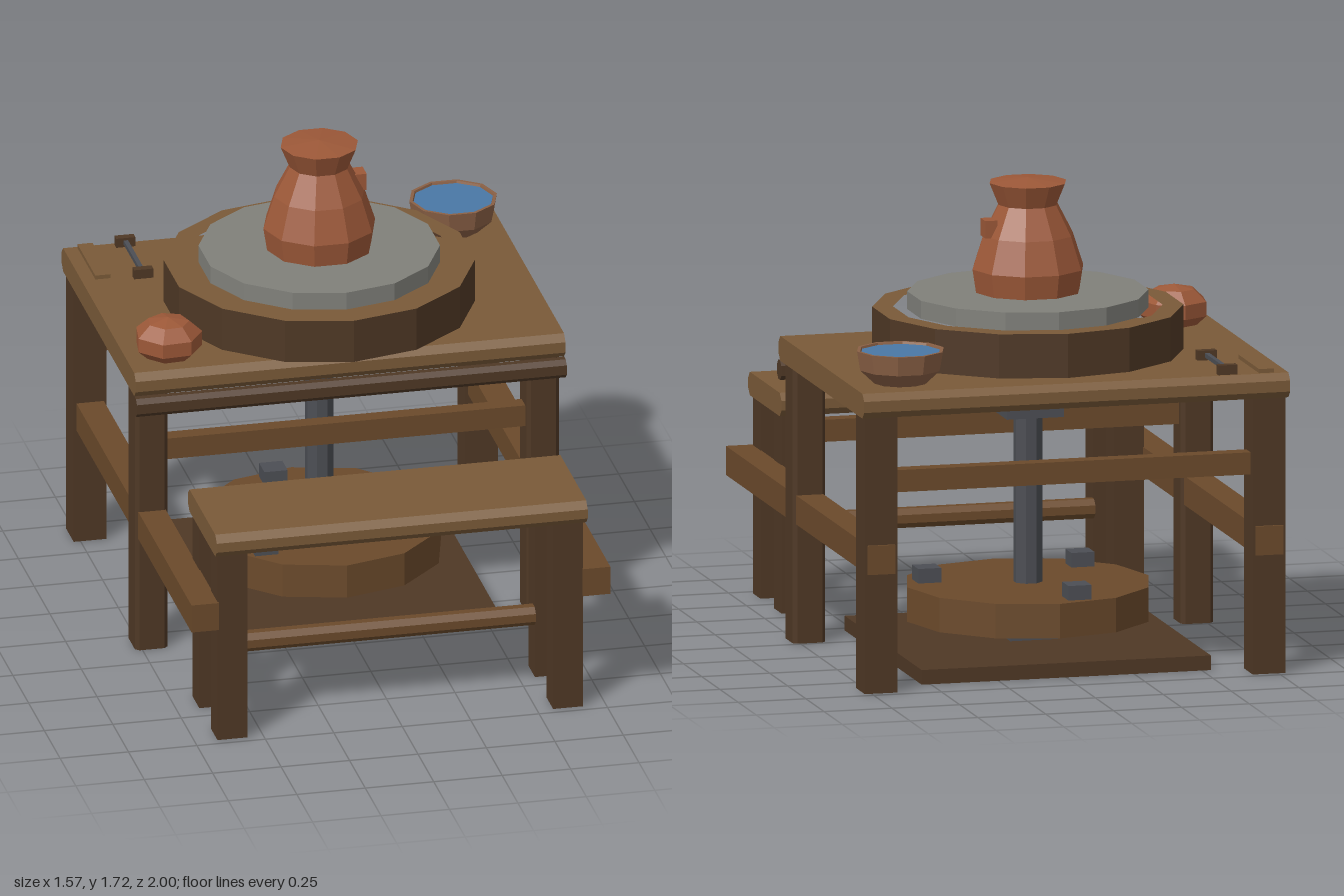
import * as THREE from 'three';

const mat = (color) => new THREE.MeshStandardMaterial({ color, flatShading: true });
const WOOD = mat(0x7a5a38), MID = mat(0x6b4a2b), DARK = mat(0x4f3825);
const CLAY = mat(0x9c5838), BOWL = mat(0x8a6045), STONE = mat(0x80807a);
const IRON = mat(0x4c4e54), WATER = mat(0x4a78a5);
BOWL.side = THREE.DoubleSide;

const WHEEL_Z = -0.32;

export function createModel() {
  const root = new THREE.Group();

  const add = (name, geometry, material, x = 0, y = 0, z = 0) => {
    const mesh = new THREE.Mesh(geometry, material);
    mesh.name = name;
    mesh.position.set(x, y, z);
    root.add(mesh);
    return mesh;
  };

  // Box given by its lower and upper corners
  const box = (name, material, [x0, y0, z0], [x1, y1, z1]) =>
    add(name, new THREE.BoxGeometry(x1 - x0, y1 - y0, z1 - z0), material,
      (x0 + x1) / 2, (y0 + y1) / 2, (z0 + z1) / 2);

  // Bar with chamfered long edges, extruded along z and centred
  const chamferBar = (w, h, length, c) => {
    const a = w / 2, b = h / 2;
    const points = [[-a + c, -b], [a - c, -b], [a, -b + c], [a, b - c],
      [a - c, b], [-a + c, b], [-a, b - c], [-a, -b + c]];
    const shape = new THREE.Shape(points.map((p) => new THREE.Vector2(...p)));
    return new THREE.ExtrudeGeometry(shape, { depth: length, bevelEnabled: false })
      .translate(0, 0, -length / 2);
  };
  const beamX = (name, material, length, h, d, c, y, z) =>
    add(name, chamferBar(d, h, length, c).rotateY(Math.PI / 2), material, 0, y, z);

  const lathe = (points, sides) => new THREE.LatheGeometry(
    points.map((p) => new THREE.Vector2(...p)), sides, Math.PI / sides);

  // Work table
  beamX('tableTop', WOOD, 1.57, 0.09, 1.18, 0.025, 1.045, -0.41);
  beamX('frontRod', DARK, 1.57, 0.07, 0.058, 0.017, 0.965, 0.17);
  box('frontRail', MID, [-0.67, 0.72, 0.045], [0.67, 0.8, 0.105]);
  box('backRail', MID, [-0.67, 0.72, -0.94], [0.67, 0.8, -0.88]);

  for (const s of [-1, 1]) {
    add('frontLeg', chamferBar(0.12, 0.125, 1, 0.014).rotateX(Math.PI / 2), DARK, s * 0.715, 0.5, 0.073);
    add('backLeg', new THREE.BoxGeometry(0.12, 1, 0.12), DARK, s * 0.715, 0.5, -0.91);
    add('sideRail', new THREE.BoxGeometry(0.1, 0.105, 1.96), MID, s * 0.715, 0.485, 0);
    for (const z of [0.917, 0.628]) {
      add('benchLeg', new THREE.BoxGeometry(0.11, 0.72, 0.105), DARK, s * 0.613, 0.36, z);
    }
  }

  // Bench
  beamX('benchSeat', WOOD, 1.355, 0.085, 0.46, 0.025, 0.76, 0.77);
  beamX('benchStretcher', MID, 1.065, 0.07, 0.07, 0.02, 0.287, 0.772);

  // Base board, bearings, shaft and flywheel
  box('baseBoard', DARK, [-0.533, 0, -0.85], [0.533, 0.053, 0.21]);
  box('lowerBearing', IRON, [-0.088, 0.053, -0.408], [0.088, 0.108, -0.232]);
  box('upperBearing', IRON, [-0.105, 0.86, -0.425], [0.105, 1.0, -0.215]);
  add('shaft', new THREE.CylinderGeometry(0.052, 0.052, 1.19, 8).rotateY(Math.PI / 8), IRON, 0, 0.65, WHEEL_Z);
  add('flywheel', new THREE.CylinderGeometry(0.445, 0.445, 0.125, 12), MID, 0, 0.188, WHEEL_Z);
  for (let i = 0; i < 3; i++) {
    const a = THREE.MathUtils.degToRad(74 + i * 120);
    const bolt = add('flywheelBolt', new THREE.BoxGeometry(0.085, 0.06, 0.085), IRON,
      0.36 * Math.sin(a), 0.273, WHEEL_Z + 0.36 * Math.cos(a));
    bolt.name += i + 1;
  }

  // Splash ring: light rim, dark walls
  const polygon = (Type, r, sides) => new Type(Array.from({ length: sides }, (_, i) => {
    const a = (i / sides) * Math.PI * 2;
    return new THREE.Vector2(r * Math.sin(a), r * Math.cos(a));
  }));
  const ring = polygon(THREE.Shape, 0.555, 14);
  ring.holes.push(polygon(THREE.Path, 0.48, 14));
  add('splashRing', new THREE.ExtrudeGeometry(ring, { depth: 0.16, bevelEnabled: false })
    .rotateX(-Math.PI / 2), [WOOD, DARK], 0, 1.09, WHEEL_Z);

  // Turntable
  add('turntable', new THREE.CylinderGeometry(0.43, 0.43, 0.065, 14), STONE, 0, 1.2725, WHEEL_Z);

  // Clay jar with a stub handle
  add('jar', lathe([[0, 1.3], [0.19, 1.3], [0.204, 1.39], [0.165, 1.51], [0.108, 1.62],
    [0.141, 1.7], [0, 1.715]], 10), CLAY, 0, 0, WHEEL_Z);
  box('jarHandle', CLAY, [0.125, 1.51, -0.37], [0.17, 1.573, -0.305]);

  // Water bowl
  add('bowl', lathe([[0, 1.09], [0.095, 1.095], [0.148, 1.145], [0.16, 1.215], [0.148, 1.215],
    [0.14, 1.19]], 10), BOWL, 0.605, 0, -0.825);
  add('water', new THREE.CircleGeometry(0.15, 10).rotateX(-Math.PI / 2).rotateY(Math.PI / 10 + Math.PI / 2),
    WATER, 0.605, 1.207, -0.825);

  // Lump of raw clay
  const lump = add('clayLump', new THREE.SphereGeometry(0.128, 7, 5), CLAY, -0.63, 1.15, 0.02);
  lump.scale.y = 0.66;
  lump.rotation.y = 0.3;

  // Hand tools
  box('scraper', WOOD, [-0.735, 1.085, -0.965], [-0.68, 1.105, -0.68]);
  box('cutterRod', IRON, [-0.573, 1.1, -0.95], [-0.557, 1.116, -0.665]);
  for (const z of [-0.965, -0.68]) {
    box('cutterHandle', DARK, [-0.6, 1.088, z], [-0.53, 1.125, z + 0.03]);
  }
  return root;
}
